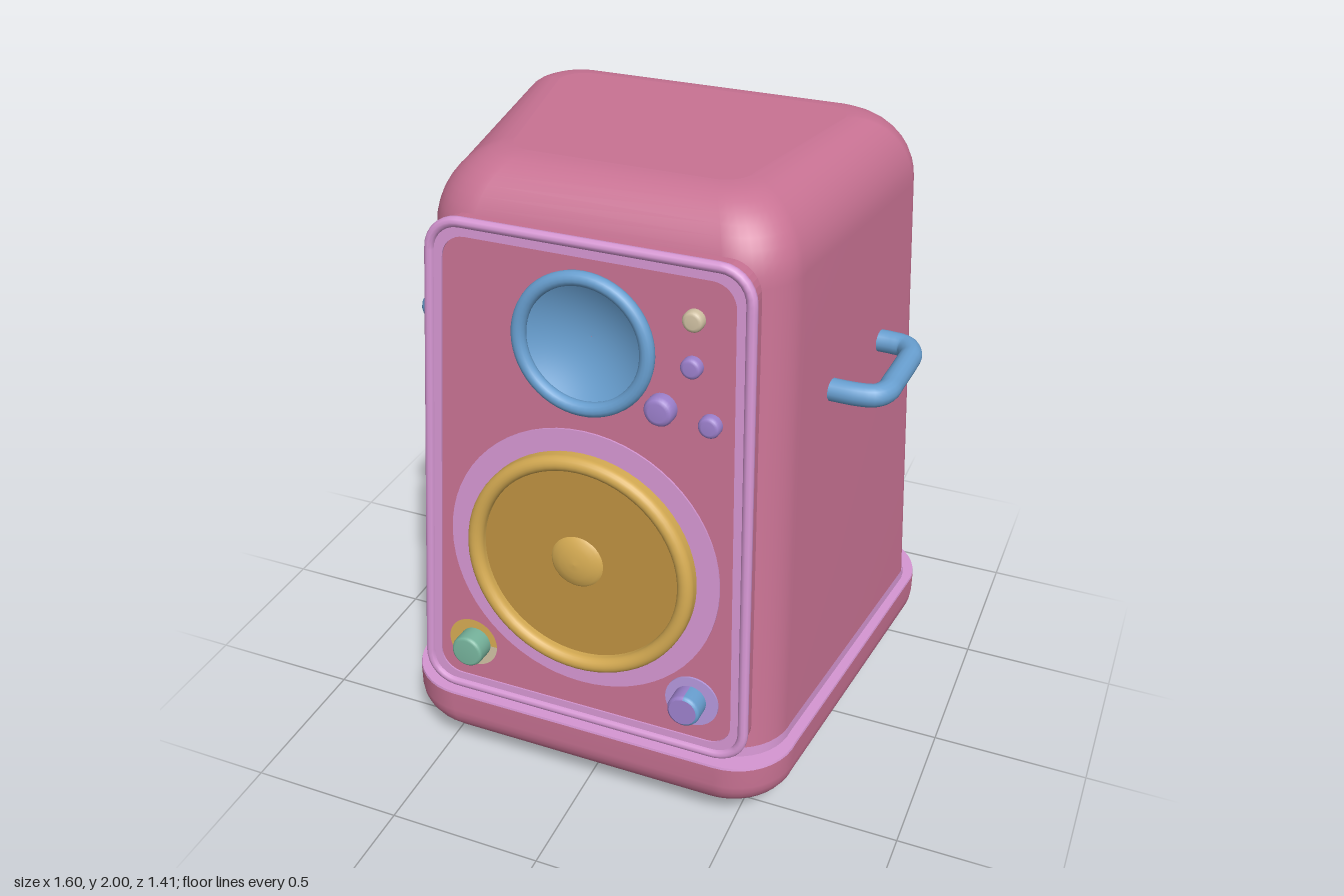
import * as THREE from 'three';

const mat = (name, color, extra = {}) => Object.assign(new THREE.MeshStandardMaterial({ color, ...extra }), { name });
const M = {
  pink: mat('rose', 0xc87293),
  orchid: mat('orchid', 0xd596d2),
  blue: mat('blue', 0x689fd0),
  gold: mat('gold', 0xd4aa52),
  cone: mat('dark gold', 0xbd9040),
  cream: mat('cream', 0xcfc0a2),
  green: mat('green', 0x76b39c),
  purple: mat('purple', 0x9c80cc),
  lavender: mat('lavender', 0xb598dc),
};

function add(parent, name, geo, material, x = 0, y = 0, z = 0) {
  const m = new THREE.Mesh(geo, material);
  m.name = name;
  m.position.set(x, y, z);
  parent.add(m);
  return m;
}

// Rounded trapezoid outline in xz: wider at the back than at the front
function loop({ wb, wf, zb, zf, r }, n = 10) {
  const pts = [];
  const corners = [[wf - r, zf - r], [r - wf, zf - r], [r - wb, zb + r], [wb - r, zb + r]];
  corners.forEach(([cx, cz], q) => {
    for (let i = 0; i <= n; i++) {
      const a = (q + i / n) * Math.PI / 2;
      pts.push([cx + r * Math.cos(a), cz + r * Math.sin(a)]);
    }
  });
  return pts;
}

// Skin through a stack of outlines, with optional end caps
function loft(levels, top = false, bottom = false) {
  const pos = [], idx = [];
  let n = 0;
  const ring = (l) => {
    const p = loop(l);
    n = p.length;
    p.forEach(([x, z]) => pos.push(x, l.y, z));
  };
  levels.forEach(ring);
  for (let k = 0; k < levels.length - 1; k++) for (let i = 0; i < n; i++) {
    const a = k * n + i, b = k * n + (i + 1) % n;
    idx.push(a, a + n, b, b, a + n, b + n);
  }
  const cap = (l, up) => {
    const s = pos.length / 3;
    ring(l);
    pos.push(0, l.y, 0);
    for (let i = 0; i < n; i++) {
      const j = (i + 1) % n;
      idx.push(s + n, s + (up ? j : i), s + (up ? i : j));
    }
  };
  if (top) cap(levels[levels.length - 1], true);
  if (bottom) cap(levels[0], false);
  const g = new THREE.BufferGeometry();
  g.setAttribute('position', new THREE.Float32BufferAttribute(pos, 3));
  g.setIndex(idx);
  g.computeVertexNormals();
  return g;
}

const inset = (l, d, y) => ({ y, wb: l.wb - d, wf: l.wf - d, zb: l.zb + d, zf: l.zf - d, r: Math.max(0.05, l.r - d * 0.5) });

// Cabinet outline at a given height
function cabinetAt(y) {
  const t = (y - 0.26) / 1.54;
  return { y, wb: 0.732 - 0.07 * t, wf: 0.615 - 0.06 * t, zb: -0.655 + 0.07 * t, zf: 0.61 - 0.125 * t, r: 0.18 };
}

// Front panel outline, local to the panel, shrunk by d
function panelPoints(d) {
  const h = 0.8 - d, wT = 0.495 - d, wB = 0.548 - d, r = 0.1 - d * 0.5, pts = [];
  [[wT - r, h - r], [r - wT, h - r], [r - wB, r - h], [wB - r, r - h]].forEach(([cx, cy], q) => {
    for (let i = 0; i <= 8; i++) {
      const a = (q + i / 8) * Math.PI / 2;
      pts.push(new THREE.Vector2(cx + r * Math.cos(a), cy + r * Math.sin(a)));
    }
  });
  return pts;
}

// Turned part whose axis points out of the panel; profile is [radius, height]
function turned(profile, seg = 40, start = 0, len = Math.PI * 2) {
  return new THREE.LatheGeometry(profile.map(([r, h]) => new THREE.Vector2(r, h)), seg, start, len).rotateX(Math.PI / 2);
}
const disc = (r, h, seg = 48) => new THREE.CylinderGeometry(r, r, h, seg).rotateX(Math.PI / 2);
const button = (r, h) => turned([[r, 0], [r, h * 0.65], [r * 0.85, h * 0.92], [r * 0.6, h], [0, h]], 28);

export function createModel() {
  const model = new THREE.Group();
  model.name = 'speaker';

  // Cabinet with softly rounded top
  const levels = [0.24, 0.7, 1.25, 1.78].map(cabinetAt);
  for (let i = 1; i <= 10; i++) {
    const a = i / 10 * Math.PI / 2;
    levels.push(inset(cabinetAt(1.78 + 0.1 * Math.sin(a)), 0.19 * (1 - Math.cos(a)), 1.78 + 0.22 * Math.sin(a)));
  }
  add(model, 'cabinet', loft(levels, true), M.pink);
  add(model, 'cabinetTrim', loft([inset(cabinetAt(0.25), -0.004, 0.25), inset(cabinetAt(0.295), -0.004, 0.295)]), M.orchid);

  // Plinth with rounded underside and pale upper ledge
  const base = { wb: 0.768, wf: 0.65, zb: -0.7, zf: 0.67, r: 0.2 };
  const baseLevels = [];
  for (let i = 0; i <= 8; i++) {
    const a = i / 8 * Math.PI / 2;
    baseLevels.push(inset(base, 0.13 * (1 - Math.sin(a)), 0.185 - 0.122 * Math.cos(a)));
  }
  baseLevels.push(inset(base, 0, 0.255));
  add(model, 'plinth', loft(baseLevels, false, true), M.pink);
  add(model, 'plinthLedge', loft([inset(base, 0, 0.254), inset(base, 0.002, 0.262)], true), M.orchid);

  // Feet
  for (const x of [-0.405, 0.405]) for (const z of [-0.4, 0.4])
    add(model, 'foot', new THREE.CylinderGeometry(0.058, 0.038, 0.075, 24), M.cream, x, 0.0375, z);

  // Side handles
  for (const s of [-1, 1]) {
    const path = [[0.6, -0.205], [0.69, -0.205], [0.735, -0.195], [0.762, -0.15], [0.763, -0.1], [0.757, 0.04],
      [0.754, 0.09], [0.73, 0.13], [0.68, 0.143], [0.58, 0.143]];
    const curve = new THREE.CatmullRomCurve3(path.map(([x, z]) => new THREE.Vector3(s * x, 1.34, z)));
    add(model, s > 0 ? 'leftHandle' : 'rightHandle', new THREE.TubeGeometry(curve, 48, 0.035, 16), M.blue);
  }

  // Leaning front panel; its face is local z = 0
  const panel = new THREE.Group();
  panel.name = 'frontPanel';
  panel.position.set(0, 1.08, 0.588);
  panel.rotation.x = -Math.atan(0.078);
  model.add(panel);
  const at = (name, geo, material, x, y, z = 0) => add(panel, name, geo, material, x, y - 1.08, z);

  const face = new THREE.Shape(panelPoints(0.01));
  face.holes.push(new THREE.Path().absarc(0, 0.495, 0.195, 0, Math.PI * 2, true));
  add(panel, 'panelBoard', new THREE.ExtrudeGeometry(face, { depth: 0.06, bevelEnabled: false, curveSegments: 32 }), M.pink, 0, 0, -0.06);
  const band = new THREE.Shape(panelPoints(0.01));
  band.holes.push(new THREE.Path(panelPoints(0.056)));
  add(panel, 'panelBand', new THREE.ExtrudeGeometry(band, { depth: 0.005, bevelEnabled: false }), M.orchid);
  const edge = new THREE.CurvePath();
  const ep = panelPoints(0.016).map((p) => new THREE.Vector3(p.x, p.y, 0));
  ep.forEach((p, i) => edge.add(new THREE.LineCurve3(p, ep[(i + 1) % ep.length])));
  add(panel, 'panelRim', new THREE.TubeGeometry(edge, 240, 0.016, 10, true), M.orchid);

  // Tweeter: hollow bowl inside a round ring
  const bowl = [];
  for (let i = 0; i <= 12; i++) {
    const r = 0.197 * i / 12;
    bowl.push([r, -0.046 + 0.066 * (r / 0.197) ** 2]);
  }
  const blueBowl = turned(bowl, 48);
  at('tweeterBowl', blueBowl, mirrorSide(M.blue), 0, 1.575);
  at('tweeterRing', new THREE.TorusGeometry(0.195, 0.022, 14, 56), M.blue, 0, 1.575, 0.018);

  // Woofer: pale surround, raised ring, flat cone and dust cap
  at('wooferSurround', disc(0.435, 0.008, 64), M.orchid, 0, 0.865, 0.002);
  const ring = [[0.365, 0], [0.365, 0.03]];
  for (let i = 1; i <= 10; i++) {
    const a = i / 10 * Math.PI;
    ring.push([0.34 + 0.025 * Math.cos(a), 0.03 + 0.025 * Math.sin(a)]);
  }
  ring.push([0.315, 0]);
  at('wooferRing', turned(ring, 64), M.gold, 0, 0.865);
  at('wooferCone', disc(0.32, 0.018, 64), M.cone, 0, 0.865, 0.009);
  at('dustCap', turned([[0.085, 0], [0.075, 0.009], [0.05, 0.018], [0.025, 0.022], [0, 0.024]], 32), M.gold, -0.01, 0.87, 0.017);

  // Indicator buttons
  at('indicator', button(0.031, 0.028), M.cream, 0.322, 1.705);
  at('smallButton', button(0.031, 0.028), M.purple, 0.322, 1.568);
  at('largeButton', button(0.045, 0.042), M.purple, 0.237, 1.425);
  at('smallButton', button(0.033, 0.03), M.purple, 0.383, 1.404);

  // Right knob on a two-tone plate
  at('knobPlateGold', new THREE.CircleGeometry(0.083, 40, 0, Math.PI * 1.4), M.gold, -0.375, 0.468, 0.005);
  at('knobPlateCream', new THREE.CircleGeometry(0.083, 20, Math.PI * 1.4, Math.PI * 0.6), M.cream, -0.375, 0.468, 0.005);
  const knob = [[0.052, 0], [0.052, 0.058], [0.049, 0.066], [0.042, 0.07]];
  at('rightKnob', turned([...knob, [0, 0.07]], 32), M.green, -0.367, 0.47);

  // Left knob: blue outer half, purple inner half and cap
  at('knobPlate', disc(0.085, 0.008), M.lavender, 0.365, 0.468, 0.002);
  at('leftKnobOuter', turned(knob, 16, 0, Math.PI), M.blue, 0.36, 0.47);
  at('leftKnobInner', turned(knob, 16, Math.PI, Math.PI), M.purple, 0.36, 0.47);
  at('leftKnobCap', new THREE.CircleGeometry(0.043, 32), M.purple, 0.36, 0.47, 0.07);

  return model;
}

// The bowl is an open surface, so it shows from both sides
function mirrorSide(material) {
  material.side = THREE.DoubleSide;
  return material;
}
